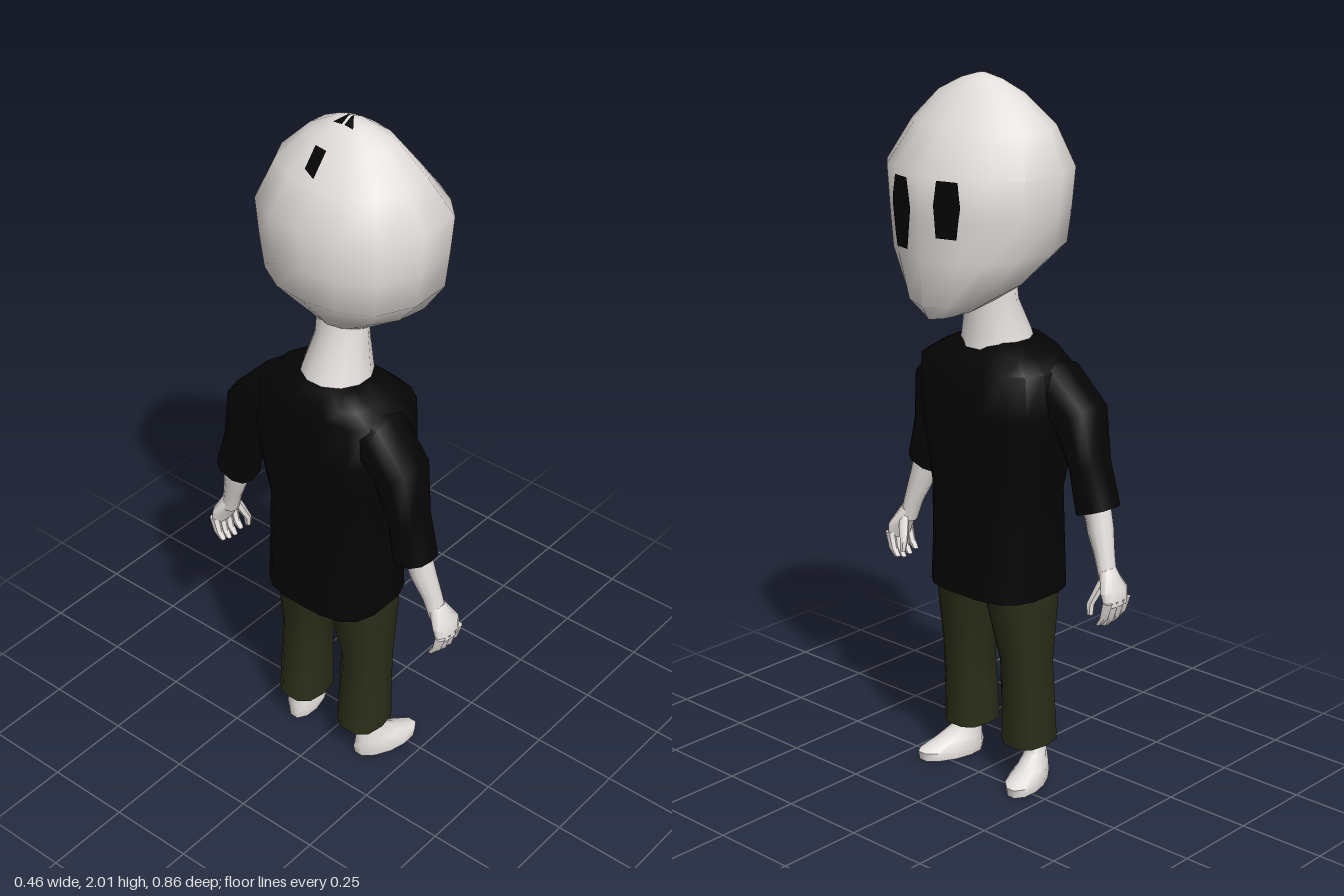
import * as THREE from 'three';
import { toCreasedNormals } from 'three/addons/utils/BufferGeometryUtils.js';

const material = (color) => new THREE.MeshStandardMaterial({ color });
const V = (x, y, z) => new THREE.Vector3(x, y, z);

// Closed skin over rings of points, listed bottom to top, with both ends capped
function skin(name, rings, mat, crease = 1) {
  const n = rings[0].length, pos = [], index = [];
  for (const ring of rings) for (const p of ring) pos.push(p.x, p.y, p.z);
  for (let i = 0; i < rings.length - 1; i++) {
    for (let j = 0; j < n; j++) {
      const a = i * n + j, b = i * n + (j + 1) % n;
      index.push(a, a + n, b, b, a + n, b + n);
    }
  }
  for (const end of [0, rings.length - 1]) {
    const mid = rings[end].reduce((m, p) => m.add(p), V(0, 0, 0)).divideScalar(n);
    const m = pos.length / 3;
    pos.push(mid.x, mid.y, mid.z);
    for (let j = 0; j < n; j++) {
      const a = end * n + j, b = end * n + (j + 1) % n;
      if (end === 0) index.push(m, a, b); else index.push(m, b, a);
    }
  }
  const geo = new THREE.BufferGeometry();
  geo.setAttribute('position', new THREE.Float32BufferAttribute(pos, 3));
  geo.setIndex(index);
  const mesh = new THREE.Mesh(toCreasedNormals(geo, crease), mat);
  mesh.name = name;
  return mesh;
}

// Sections are [x, y, z, half depth in x, half width, tilt]; side mirrors across z
function limb(name, sections, mat, { side = 1, sides = 10, power = 1, skew = 0, crease = 1 } = {}) {
  const bend = (v) => Math.sign(v) * Math.abs(v) ** power;
  const rings = sections.map(([x, y, z, rx, rw, tilt = 0]) =>
    Array.from({ length: sides }, (_, j) => {
      const t = ((j + 0.5) / sides) * Math.PI * 2;
      const c = bend(Math.cos(t)) * rx, w = bend(Math.sin(t)) * rw;
      return V(x + c, y + side * Math.sin(tilt) * w, side * (z + skew * c) + Math.cos(tilt) * w);
    }));
  return skin(name, rings, mat, crease);
}

// Half outline of the head from face (u = 1) to back (u = 0): [u, width]
const OUTLINE = [[1, 0], [0.93, 0.47], [0.84, 0.72], [0.7, 0.96], [0.4, 1], [0.15, 0.8], [0.03, 0.42], [0, 0]];

function makeHead(mat) {
  const loop = [...OUTLINE, ...OUTLINE.slice(1, -1).reverse().map(([u, w]) => [u, -w])];
  // [height, back x, front x, half width, slope toward the chin]
  const sections = [
    [1.41, -0.10, 0.195, 0.07, -0.17], [1.46, -0.15, 0.22, 0.15, -0.2],
    [1.55, -0.208, 0.225, 0.23, -0.05], [1.65, -0.214, 0.228, 0.244, 0],
    [1.76, -0.218, 0.23, 0.256, 0], [1.87, -0.165, 0.14, 0.205, 0],
    [1.95, -0.095, 0.08, 0.125, 0], [1.985, -0.05, 0.03, 0.06, 0], [2.0, -0.02, 0.0, 0.01, 0],
  ];
  const rings = sections.map(([y, back, front, half, slope]) => loop.map(([u, w]) => {
    const x = back + (front - back) * u;
    return V(x, y + slope * x, w * half);
  }));
  return skin('head', rings, mat, 0.9);
}

// Patch laid on the head; rows are [left edge, right edge, level], top row first
function patch(name, rows, head, mat, fromAbove) {
  const geo = new THREE.PlaneGeometry(1, 1, 6, 8), p = geo.attributes.position;
  const ray = new THREE.Raycaster();
  const dir = fromAbove ? V(0, -1, 0) : V(-1, 0, 0);
  for (let i = 0; i < p.count; i++) {
    const u = p.getX(i) + 0.5, v = (0.5 - p.getY(i)) * (rows.length - 1);
    const k = Math.min(Math.floor(v), rows.length - 2);
    const [l, r, level] = rows[k].map((a, m) => a + (rows[k + 1][m] - a) * (v - k));
    const across = l + (r - l) * u;
    ray.set(fromAbove ? V(across, 3, level) : V(1, level, across), dir);
    const hit = ray.intersectObject(head)[0];
    const q = hit ? hit.point : (fromAbove ? V(across, 1.98, level) : V(0.21, level, across));
    q.addScaledVector(dir, -0.005);
    p.setXYZ(i, q.x, q.y, q.z);
  }
  geo.computeVertexNormals();
  const mesh = new THREE.Mesh(geo, mat);
  mesh.name = name;
  return mesh;
}

export function createModel() {
  const model = new THREE.Group();
  model.name = 'figure';
  const pale = material(0xe4dfdc), black = material(0x050505), olive = material(0x2a2e18);

  // Head, eyes and dark marks on the crown
  const head = makeHead(pale);
  model.add(head);
  model.add(patch('leftEye', [[0.125, 0.035, 1.67], [0.105, 0.055, 1.56]], head, black));
  model.add(patch('leftEyeTop', [[0.105, 0.05, 1.75], [0.125, 0.035, 1.67]], head, black));
  model.add(patch('rightEye', [[-0.045, -0.12, 1.69], [-0.05, -0.108, 1.605]], head, black));
  model.add(patch('rightEyeTop', [[-0.055, -0.115, 1.755], [-0.045, -0.12, 1.69]], head, black));
  model.add(patch('crownMark', [[-0.142, -0.1, -0.042], [-0.155, -0.105, -0.004]], head, black, true));
  for (const s of [1, -1]) {
    const rows = [[-0.046, -0.042, 0.03 * s], [-0.045, -0.008, 0.004 * s]];
    model.add(patch('crownSliver', s > 0 ? rows.reverse() : rows, head, black, true));
  }

  // Neck
  model.add(limb('neck', [
    [-0.075, 1.25, 0, 0.105, 0.105], [-0.07, 1.3, 0, 0.095, 0.095],
    [-0.05, 1.39, 0, 0.07, 0.075], [-0.04, 1.47, 0, 0.07, 0.075],
  ], pale, { sides: 12 }));

  // Shirt body
  model.add(limb('shirtBody', [
    [-0.08, 0.565, 0, 0.152, 0.182], [-0.08, 0.7, 0, 0.147, 0.178], [-0.075, 0.86, 0, 0.142, 0.178],
    [-0.08, 1.0, 0, 0.152, 0.205], [-0.078, 1.1, 0, 0.152, 0.22], [-0.072, 1.22, 0, 0.145, 0.215],
    [-0.085, 1.255, 0, 0.122, 0.165], [-0.09, 1.285, 0, 0.095, 0.1],
  ], black, { sides: 16, power: 0.65 }));

  for (const side of [1, -1]) {
    const word = side > 0 ? 'left' : 'right';
    const add = (part, sections, mat, options) => model.add(limb(word + part, sections, mat, { side, ...options }));

    // Sleeve, from cuff to shoulder
    add('Sleeve', [
      [-0.13, 0.84, 0.317, 0.055, 0.06, 0.33], [-0.125, 0.965, 0.29, 0.065, 0.047, 0.33],
      [-0.12, 1.095, 0.258, 0.08, 0.068, 0.55], [-0.11, 1.16, 0.19, 0.085, 0.08, 1.3],
      [-0.1, 1.17, 0.1, 0.08, 0.075, 1.5],
    ], black, { power: 0.8 });

    // Forearm and palm
    add('Forearm', [
      [-0.105, 0.66, 0.377, 0.028, 0.024, 0.4], [-0.11, 0.72, 0.36, 0.03, 0.027, 0.35],
      [-0.12, 0.79, 0.335, 0.036, 0.037, 0.33], [-0.125, 0.87, 0.312, 0.038, 0.04, 0.33],
    ], pale);
    add('Palm', [
      [-0.1, 0.6, 0.41, 0.046, 0.017, 0.1], [-0.1, 0.64, 0.402, 0.05, 0.024, 0.2],
      [-0.105, 0.69, 0.373, 0.028, 0.022, 0.4],
    ], pale);

    // Four curled fingers and a thumb
    for (let f = 0; f < 4; f++) {
      const x = -0.137 + f * 0.025, drop = [0.012, 0.003, 0, 0.008][f];
      add('Finger', [
        [x, 0.538 + drop, 0.383, 0.009, 0.009], [x, 0.56 + drop, 0.4, 0.012, 0.013],
        [x, 0.615, 0.412, 0.014, 0.016],
      ], pale, { sides: 6 });
    }
    add('Thumb', [
      [-0.057, 0.57, 0.356, 0.009, 0.009], [-0.06, 0.6, 0.354, 0.012, 0.012],
      [-0.075, 0.64, 0.368, 0.015, 0.015], [-0.09, 0.68, 0.38, 0.014, 0.014],
    ], pale, { sides: 6 });

    // Trouser leg
    add('TrouserLeg', [
      [-0.09, 0.11, 0.11, 0.08, 0.068], [-0.085, 0.23, 0.11, 0.078, 0.064],
      [-0.077, 0.36, 0.11, 0.078, 0.062], [-0.075, 0.5, 0.097, 0.1, 0.08],
      [-0.075, 0.6, 0.088, 0.115, 0.088],
    ], olive, { power: 0.75 });

    // Bare foot with ankle, turned slightly outward
    add('Foot', [
      [-0.04, 0, 0.148, 0.098, 0.05], [-0.04, 0.025, 0.148, 0.102, 0.053],
      [-0.068, 0.05, 0.142, 0.07, 0.043], [-0.095, 0.085, 0.132, 0.04, 0.032],
      [-0.095, 0.2, 0.12, 0.036, 0.032],
    ], pale, { skew: 0.25, sides: 12 });
  }
  return model;
}
